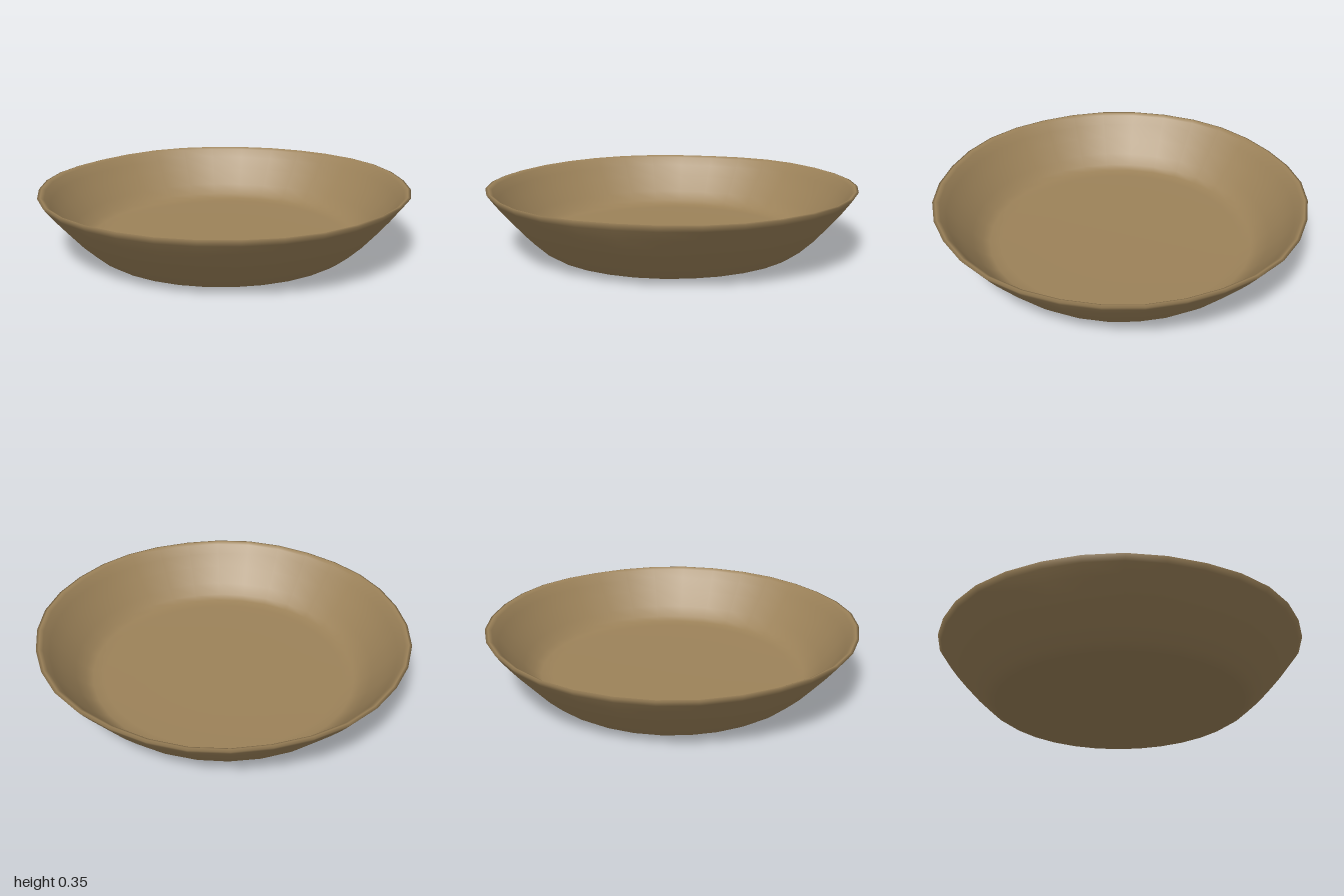
import * as THREE from 'three';
import { mergeVertices } from 'three/addons/utils/BufferGeometryUtils.js';

export function createModel() {
  const group = new THREE.Group();
  group.name = 'shallowBowl';
  const clay = new THREE.MeshStandardMaterial({ color: 0x9c8259 });
  clay.name = 'brownClay';

  // Closed profile: small foot disc, underside, outer wall, lip, inner wall, floor
  const profile = [
    [0, 0.004], [0.17, 0.004], [0.19, 0.008], [0.22, 0.016], [0.45, 0.013],
    [0.66, 0.010], [0.69, 0.016], [0.73, 0.042], [0.80, 0.107], [0.88, 0.196],
    [0.94, 0.265], [0.98, 0.315], [1.0, 0.343], [0.985, 0.347], [0.965, 0.335],
    [0.935, 0.29], [0.88, 0.222], [0.81, 0.14], [0.76, 0.09], [0.72, 0.071],
    [0.66, 0.066], [0.35, 0.064], [0, 0.064],
  ].map(([r, y]) => new THREE.Vector2(r, y));

  const lathe = new THREE.LatheGeometry(profile, 32);
  lathe.deleteAttribute('uv');
  lathe.deleteAttribute('normal');
  const bowlGeometry = mergeVertices(lathe, 1e-4);

  // Hand-made unevenness: a slight tilt and a gently wavering lip
  const p = bowlGeometry.attributes.position;
  for (let i = 0; i < p.count; i++) {
    const x = p.getX(i), y = p.getY(i), z = p.getZ(i);
    const a = Math.atan2(z, x);
    const lip = THREE.MathUtils.smoothstep(y, 0.2, 0.34);
    const s = 1 - 0.006 * lip * (1 - Math.cos(a * 8)) / 2;
    p.setXYZ(i, x * s, y + 0.008 * x + 0.002 * lip * Math.sin(a * 5), z * s);
  }
  bowlGeometry.computeVertexNormals();

  const bowl = new THREE.Mesh(bowlGeometry, clay);
  bowl.name = 'bowl';
  group.add(bowl);
  return group;
}
